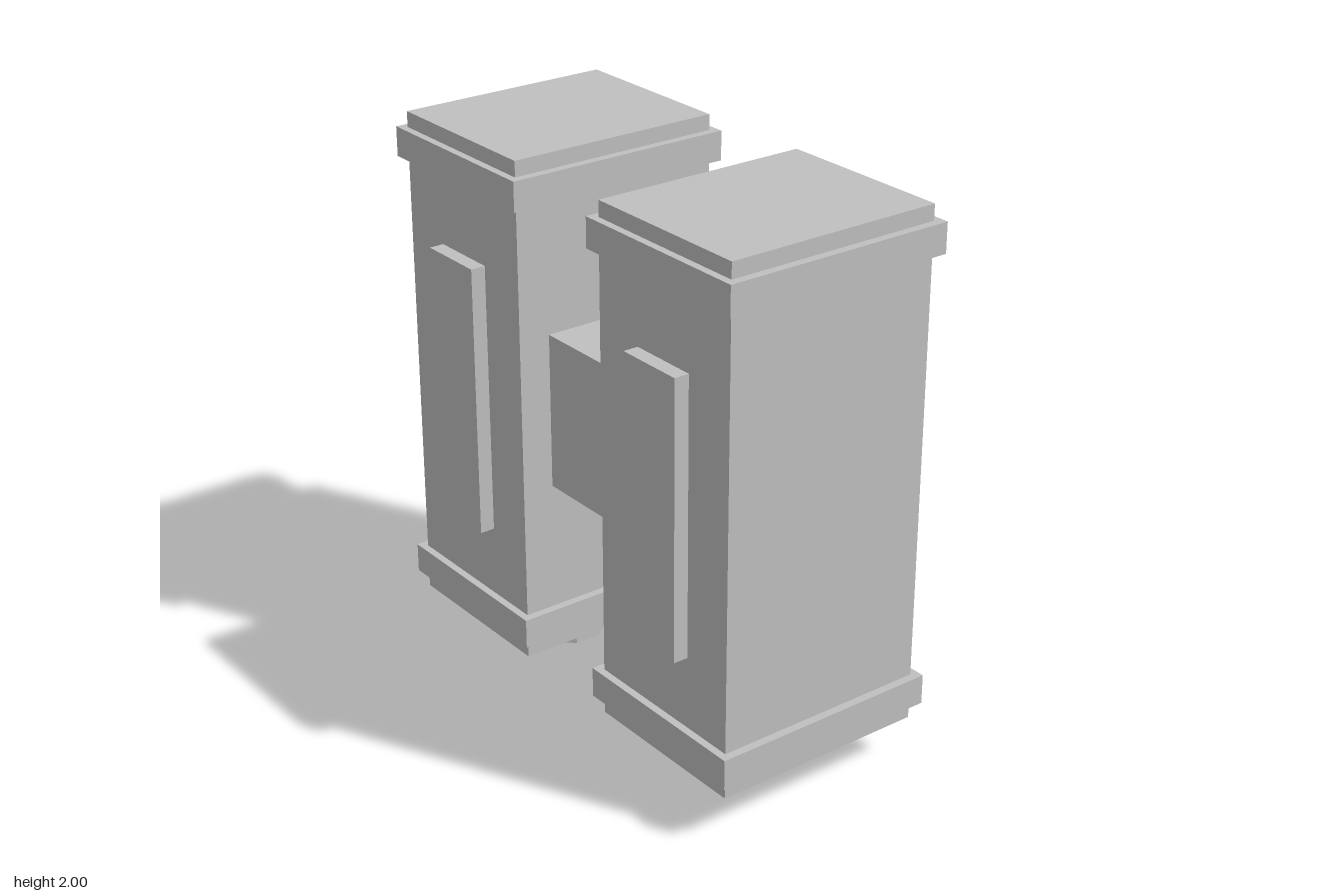
import * as THREE from 'three';

export function createModel() {
  const model = new THREE.Group();
  const grey = new THREE.MeshStandardMaterial({ color: 0xc0c0c0, flatShading: true });
  grey.name = 'light grey';

  // Box given by its lower and upper limits on each axis
  function box(parent, name, [x0, x1], [y0, y1], [z0, z1]) {
    const mesh = new THREE.Mesh(new THREE.BoxGeometry(x1 - x0, y1 - y0, z1 - z0), grey);
    mesh.position.set((x0 + x1) / 2, (y0 + y1) / 2, (z0 + z1) / 2);
    mesh.name = name;
    parent.add(mesh);
  }

  // Two matching towers, one on each side
  for (const [side, sign] of [['left', 1], ['right', -1]]) {
    const tower = new THREE.Group();
    tower.name = side + 'Tower';
    tower.position.x = sign * 0.553;
    model.add(tower);

    box(tower, 'body', [-0.325, 0.325], [0.16, 2], [-0.367, 0.428]);
    box(tower, 'upperBand', [-0.355, 0.355], [1.838, 1.944], [-0.396, 0.455]);
    box(tower, 'lowerBand', [-0.355, 0.355], [0.22, 0.328], [-0.396, 0.455]);
    box(tower, 'frontPanel', [-0.128, 0.128], [0.588, 1.578], [0.4, 0.482]);
    box(tower, 'backPanel', [-0.182, 0.182], [0.302, 1.86], [-0.482, -0.34]);

    // Octagonal nozzle with flats facing the axes
    const nozzle = new THREE.Mesh(new THREE.CylinderGeometry(0.142, 0.142, 0.18, 8), grey);
    nozzle.name = 'nozzle';
    nozzle.rotation.y = Math.PI / 8;
    nozzle.position.set(0, 0.09, 0.03);
    tower.add(nozzle);
  }

  // Block joining the towers
  box(model, 'connector', [-0.24, 0.24], [0.8, 1.365], [-0.258, 0.31]);
  return model;
}
